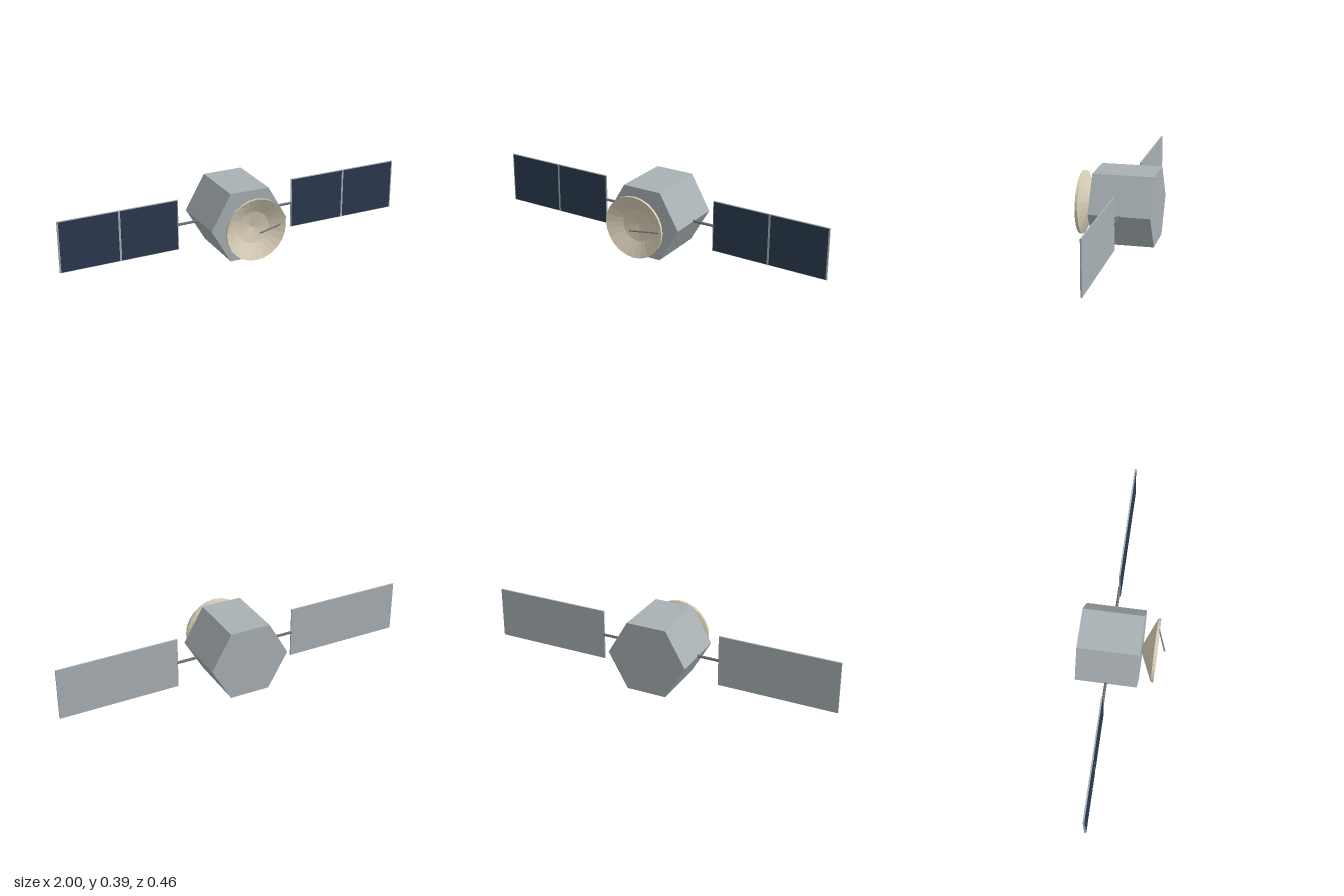
import * as THREE from 'three';

const CY = 0.193; // height of the main axis
const WING_Z = -0.064;

const mat = (name, color, extra = {}) => {
  const m = new THREE.MeshStandardMaterial({ color, flatShading: true, ...extra });
  m.name = name;
  return m;
};

export function createModel() {
  const hull = mat('hull grey', 0xa9b1b5);
  const cell = mat('solar blue', 0x2b3a50);
  const cream = mat('dish cream', 0xd9cfb8);
  const steel = mat('dark steel', 0x6c7175);

  const model = new THREE.Group();
  model.name = 'satellite';
  const add = (parent, name, geometry, material, x = 0, y = 0, z = 0) => {
    const mesh = new THREE.Mesh(geometry, material);
    mesh.name = name;
    mesh.position.set(x, y, z);
    parent.add(mesh);
    return mesh;
  };

  // Hexagonal body, axis along z, corners pointing left and right
  const bodyGeo = new THREE.CylinderGeometry(0.2225, 0.2225, 0.333, 6)
    .rotateY(Math.PI / 6)
    .rotateX(Math.PI / 2);
  add(model, 'body', bodyGeo, hull, 0, CY, -0.0635);

  // Dish: straight cone behind, short rim, two-slope bowl in front
  const profile = [
    [0, 0.095], [0.173, 0.172], [0.173, 0.186], [0.09, 0.145], [0, 0.127],
  ].map(([r, z]) => new THREE.Vector2(r, z));
  add(model, 'dish', new THREE.LatheGeometry(profile, 24).rotateX(Math.PI / 2), cream, 0, CY, 0);

  // Slanted feed arm from the bowl to the focus
  const from = new THREE.Vector3(0.145, CY, 0.173);
  const to = new THREE.Vector3(0, CY, 0.226);
  const arm = add(model, 'feedArm', new THREE.CylinderGeometry(0.004, 0.004, from.distanceTo(to), 8), steel);
  arm.position.copy(from).lerp(to, 0.5);
  arm.quaternion.setFromUnitVectors(new THREE.Vector3(0, 1, 0), to.clone().sub(from).normalize());

  // Solar wings on both sides
  for (const side of [1, -1]) {
    const wing = new THREE.Group();
    wing.name = side > 0 ? 'leftWing' : 'rightWing';
    wing.position.set(0, CY, WING_Z);
    model.add(wing);

    const boomGeo = new THREE.CylinderGeometry(0.0075, 0.0075, 0.15, 8).rotateZ(Math.PI / 2);
    add(wing, 'boom', boomGeo, steel, side * 0.268);
    add(wing, 'panel', new THREE.BoxGeometry(0.66, 0.284, 0.008), hull, side * 0.67);
    for (const x of [0.504, 0.834]) {
      add(wing, 'solarCells', new THREE.BoxGeometry(0.318, 0.278, 0.002), cell, side * x, 0, 0.0045);
    }
  }
  return model;
}
